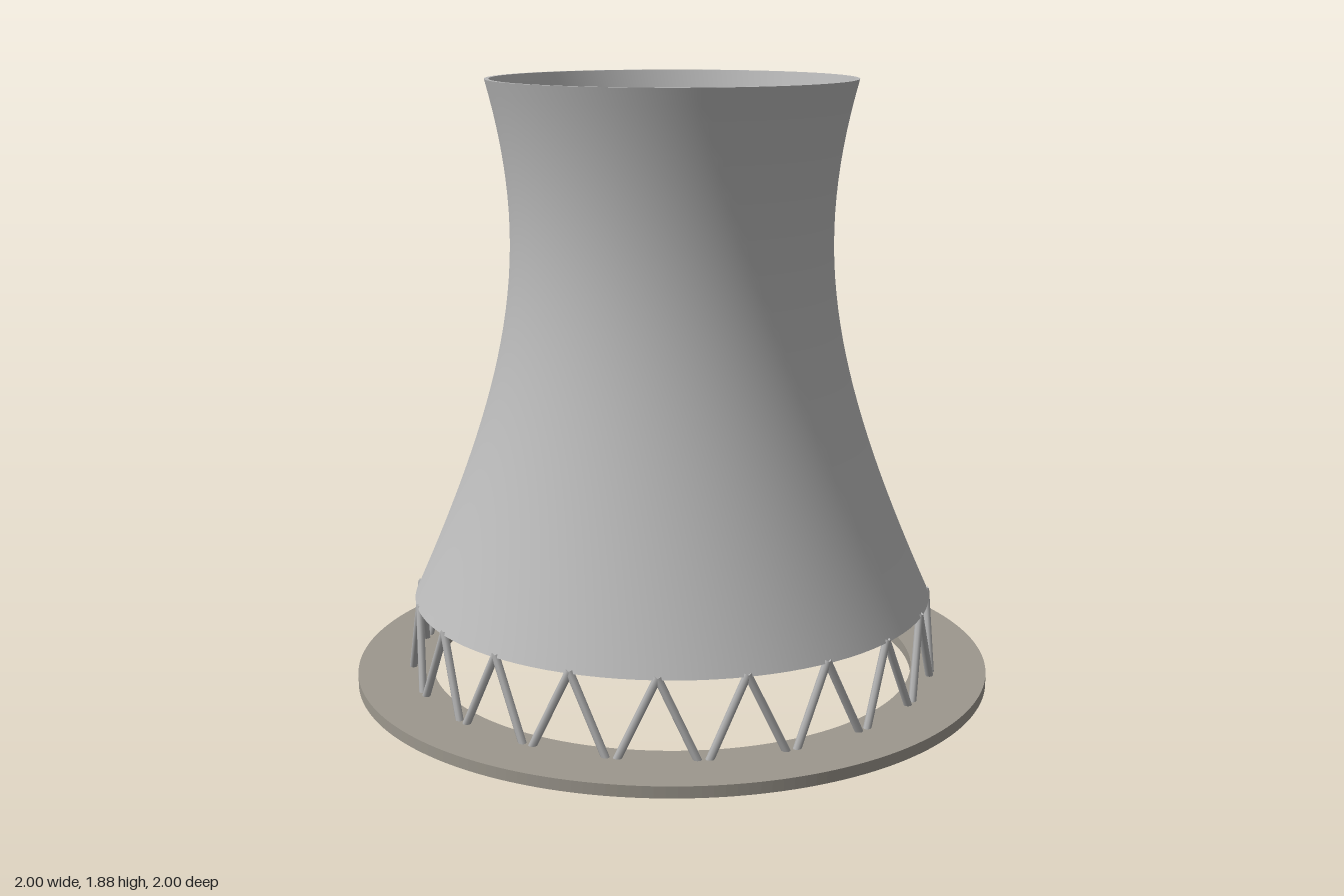
import * as THREE from 'three';

const SEGMENTS = 96;
const LEG_PAIRS = 20;
const SHELL_BOTTOM = 0.275, SHELL_TOP = 1.885, WALL = 0.014;

// Hyperbolic radius of the shell's outer face at height y
const shellRadius = (y) => 0.497 * Math.hypot(1, (y - 1.41) / 0.873);

// Lathe about y with a smooth curved wall
function lathe(name, points, material) {
  const mesh = new THREE.Mesh(new THREE.LatheGeometry(points, SEGMENTS), material);
  mesh.name = name;
  return mesh;
}

// Straight round bar between two points
function bar(name, a, b, radius, material) {
  const direction = b.clone().sub(a);
  const mesh = new THREE.Mesh(new THREE.CylinderGeometry(radius, radius, direction.length(), 8), material);
  mesh.position.copy(a).add(b).multiplyScalar(0.5);
  mesh.quaternion.setFromUnitVectors(new THREE.Vector3(0, 1, 0), direction.normalize());
  mesh.name = name;
  return mesh;
}

const onCircle = (radius, angle, y) =>
  new THREE.Vector3(radius * Math.sin(angle), y, radius * Math.cos(angle));

export function createModel() {
  const model = new THREE.Group();
  model.name = 'coolingTower';
  const concrete = new THREE.MeshStandardMaterial({ name: 'light concrete', color: 0xb9b9b9 });
  const legConcrete = new THREE.MeshStandardMaterial({ name: 'leg concrete', color: 0xb0b0b0 });
  const ground = new THREE.MeshStandardMaterial({ name: 'warm grey base', color: 0x9c978d });

  // Hyperbolic shell: outer and inner walls plus flat rims
  const outer = [], inner = [];
  const steps = 32;
  for (let i = 0; i <= steps; i++) {
    const y = THREE.MathUtils.lerp(SHELL_BOTTOM, SHELL_TOP, i / steps);
    outer.push(new THREE.Vector2(shellRadius(y), y));
    inner.unshift(new THREE.Vector2(shellRadius(y) - WALL, y));
  }
  const shell = new THREE.Group();
  shell.name = 'shell';
  shell.add(
    lathe('outerWall', outer, concrete),
    lathe('innerWall', inner, concrete),
    lathe('topRim', [outer[steps], inner[0]], concrete),
    lathe('bottomRim', [inner[steps], outer[0]], concrete),
  );
  model.add(shell);

  // Flat foundation ring
  const ring = new THREE.Shape().absarc(0, 0, 1, 0, Math.PI * 2);
  ring.holes.push(new THREE.Path().absarc(0, 0, 0.765, 0, Math.PI * 2, true));
  const baseGeometry = new THREE.ExtrudeGeometry(ring, {
    depth: 0.035, bevelEnabled: false, curveSegments: SEGMENTS,
  });
  baseGeometry.rotateX(-Math.PI / 2).translate(0, 0.01, 0);
  const base = new THREE.Mesh(baseGeometry, ground);
  base.name = 'foundationRing';
  model.add(base);

  // Zigzag of V-shaped legs between the foundation and the shell
  const legs = new THREE.Group();
  legs.name = 'legs';
  const step = (Math.PI * 2) / LEG_PAIRS;
  for (let i = 0; i < LEG_PAIRS; i++) {
    const foot = onCircle(0.832, i * step, 0.006);
    for (const side of [-0.5, 0.5]) {
      legs.add(bar('leg', foot, onCircle(0.808, (i + side) * step, 0.28), 0.012, legConcrete));
    }
  }
  model.add(legs);

  return model;
}
